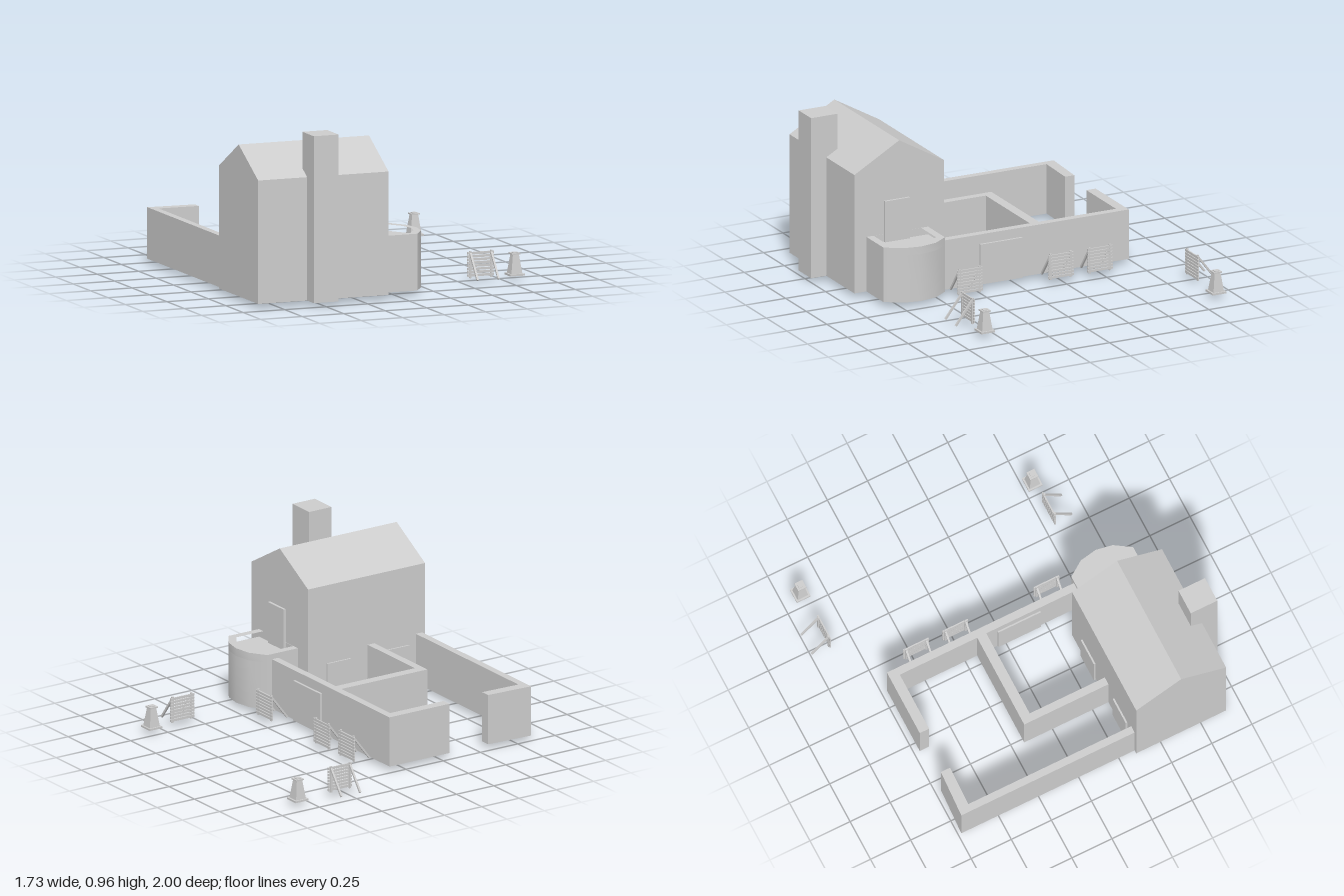
import * as THREE from 'three';
import { toCreasedNormals } from 'three/addons/utils/BufferGeometryUtils.js';

const material = new THREE.MeshStandardMaterial({ color: 0xcccccc });
const BASE = 0.025, WALL_TOP = 0.315;

function add(parent, name, geometry) {
  const mesh = new THREE.Mesh(geometry, material);
  mesh.name = name;
  parent.add(mesh);
  return mesh;
}

// Box given by its limits on each axis
function block(parent, name, x0, x1, y0, y1, z0, z1) {
  const mesh = add(parent, name, new THREE.BoxGeometry(x1 - x0, y1 - y0, z1 - z0));
  mesh.position.set((x0 + x1) / 2, (y0 + y1) / 2, (z0 + z1) / 2);
  return mesh;
}

// Upright prism over a plan of [x, z] points, with an optional hole
function prism(parent, name, plan, y0, y1, hole) {
  const toPoints = (list) => list.map(([x, z]) => new THREE.Vector2(x, -z));
  const shape = new THREE.Shape(toPoints(plan));
  if (hole) shape.holes.push(new THREE.Path(toPoints(hole)));
  const geometry = new THREE.ExtrudeGeometry(shape, { depth: y1 - y0, bevelEnabled: false });
  geometry.rotateX(-Math.PI / 2);
  const mesh = add(parent, name, toCreasedNormals(geometry, 0.6));
  mesh.position.y = y0;
  return mesh;
}

// Square bar between two points
function bar(parent, name, from, to, size) {
  const a = new THREE.Vector3(...from), b = new THREE.Vector3(...to);
  const mesh = add(parent, name, new THREE.BoxGeometry(size, size, a.distanceTo(b)));
  mesh.position.copy(a).add(b).multiplyScalar(0.5);
  mesh.lookAt(b);
  return mesh;
}

// Slatted screen in the xy plane, propped by two struts towards +z
function createScreen(x, z, turn) {
  const screen = new THREE.Group();
  screen.name = 'proppedScreen';
  for (let i = 0; i < 8; i++) {
    const y = 0.008 + i * 0.0178;
    block(screen, 'slat', -0.079, 0.079, y, y + 0.0135, -0.005, 0.003);
  }
  for (const side of [-0.063, 0.063]) {
    block(screen, 'post', side - 0.006, side + 0.006, 0, 0.152, -0.002, 0.008);
    bar(screen, 'strut', [side, 0.14, 0.004], [side, 0.004, 0.108], 0.011);
  }
  screen.position.set(x, BASE, z);
  screen.rotation.y = turn;
  return screen;
}

// Tapered square pedestal with plinth and cap
function createPedestal(x, z) {
  const pedestal = new THREE.Group();
  pedestal.name = 'pedestal';
  block(pedestal, 'plinth', -0.043, 0.043, 0, 0.011, -0.043, 0.043);
  const r = Math.SQRT1_2;
  const body = new THREE.CylinderGeometry(0.036 * r, 0.066 * r, 0.109, 4, 1).rotateY(Math.PI / 4);
  add(pedestal, 'taperedBody', toCreasedNormals(body, 0.3)).position.y = 0.0655;
  block(pedestal, 'cap', -0.025, 0.025, 0.118, 0.126, -0.025, 0.025);
  block(pedestal, 'capTop', -0.014, 0.014, 0.126, 0.13, -0.014, 0.014);
  pedestal.position.set(x, BASE, z);
  return pedestal;
}

function createHouse() {
  const house = new THREE.Group();
  house.name = 'house';

  // Gabled body extruded along x; the profile is drawn in (-z, y)
  const gable = new THREE.Shape([
    [-0.905, BASE], [-0.345, BASE], [-0.345, 0.72], [-0.625, 0.88], [-0.905, 0.72],
  ].map(([u, v]) => new THREE.Vector2(u, v)));
  const body = new THREE.ExtrudeGeometry(gable, { depth: 0.785, bevelEnabled: false });
  body.rotateY(Math.PI / 2);
  add(house, 'gabledBody', body).position.x = -0.87;

  block(house, 'chimney', -0.575, -0.425, BASE, 0.965, 0.835, 1);

  // Doors to the yard and to the terrace
  block(house, 'yardDoor', -0.76, -0.6, 0, 0.26, 0.335, 0.35);
  block(house, 'yardDoor', -0.37, -0.21, 0, 0.26, 0.335, 0.35);
  block(house, 'terraceDoor', -0.09, -0.07, 0.3, 0.54, 0.565, 0.72);

  // Rounded bay with a parapet around its flat roof
  const outer = [[-0.085, 0.445], [0.12, 0.445], [0.182, 0.535], [0.2, 0.637],
    [0.182, 0.735], [0.12, 0.83], [-0.085, 0.83]];
  const inner = [[-0.084, 0.489], [0.096, 0.489], [0.146, 0.56], [0.163, 0.637],
    [0.146, 0.712], [0.096, 0.786], [-0.084, 0.786]];
  prism(house, 'bay', outer, BASE, 0.3);
  prism(house, 'parapet', outer, 0.3, 0.345, inner);
  return house;
}

function createYard() {
  const yard = new THREE.Group();
  yard.name = 'yardWalls';
  // Outer walls; the rear one leaves an opening
  prism(yard, 'outerWall', [[-0.85, 0.345], [-0.85, -0.735], [-0.57, -0.72], [-0.57, -0.662],
    [-0.808, -0.67], [-0.808, 0.345]], BASE, WALL_TOP);
  prism(yard, 'outerWall', [[-0.312, -0.72], [0.09, -0.72], [0.09, 0.445], [0.046, 0.445],
    [0.046, -0.662], [-0.312, -0.662]], BASE, WALL_TOP);
  // Inner courtyard wall
  prism(yard, 'innerWall', [[-0.53, 0.345], [-0.53, -0.18], [0.046, -0.18], [0.046, -0.123],
    [-0.485, -0.123], [-0.485, 0.345]], BASE, WALL_TOP);
  // Gate panel showing on both faces of the side wall
  block(yard, 'gate', 0.037, 0.104, BASE, 0.26, -0.052, 0.213);
  return yard;
}

export function createModel() {
  const model = new THREE.Group();
  model.name = 'walledHouse';
  model.add(createHouse(), createYard());

  // Screens along the side wall, then the two standing in the open
  for (const z of [-0.477, -0.232, 0.337]) model.add(createScreen(0.212, z, -Math.PI / 2));
  model.add(createScreen(0.615, 0.558, 0), createScreen(0.535, -0.886, Math.PI));
  for (const z of [0.558, -0.888]) model.add(createPedestal(0.82, z));
  return model;
}
